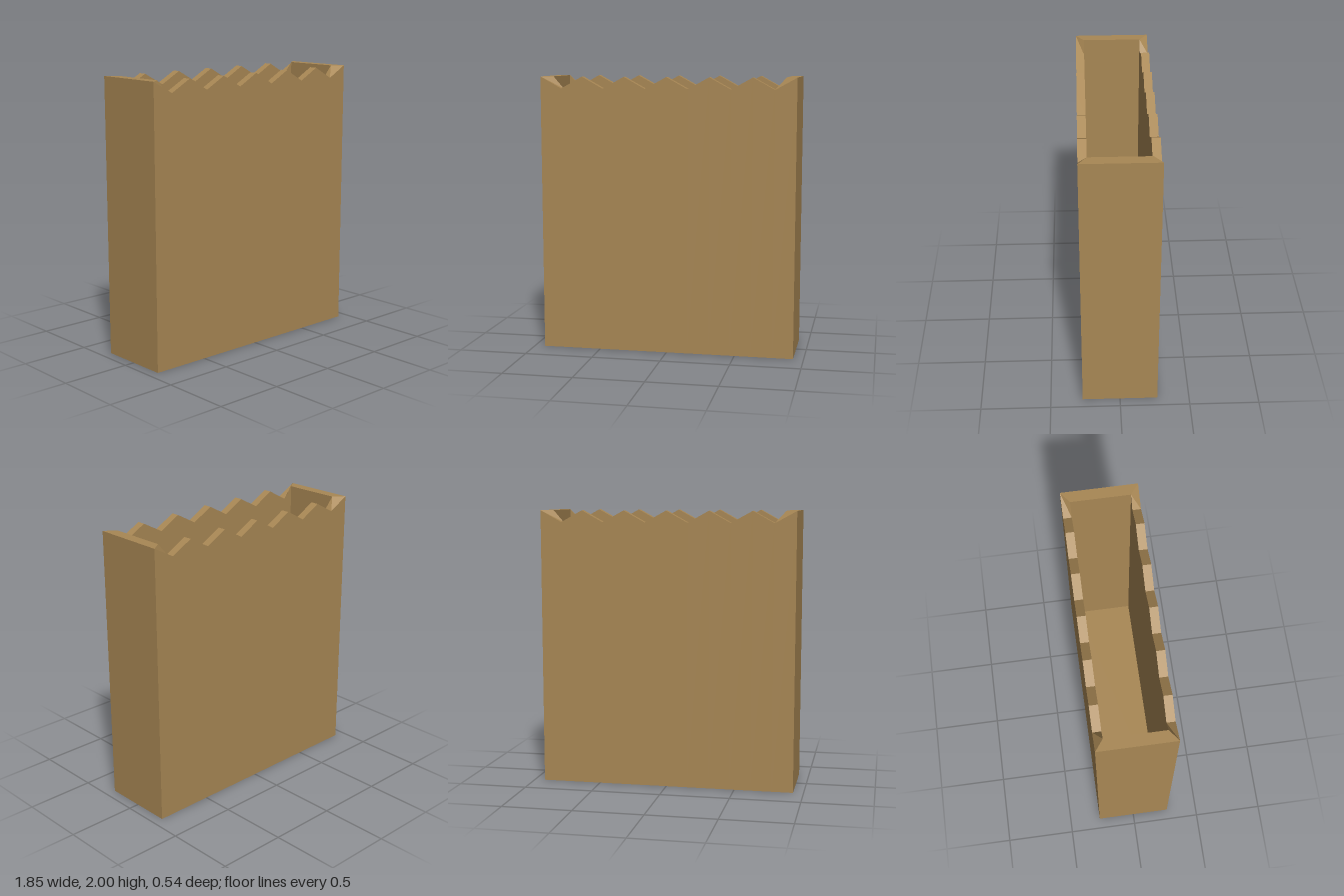
import * as THREE from 'three';

const HALF_W = 0.925, HALF_D = 0.27;      // outer half sizes
const IN_W = 0.845, IN_D = 0.21;          // inner half sizes
const TOP = 2, NOTCH = 1.915, FLOOR = 0.06;
const STEPS = 12;                         // zigzag edges on each long wall

// One loop around the bag: along the front, then back along the rear.
// height(i) gives y; even points are peaks and odd points are notches.
function loop(halfW, halfD, height) {
  const points = [];
  for (const side of [1, -1]) {
    for (let k = 0; k <= STEPS; k++) {
      const pitch = HALF_W * (2 * k / STEPS - 1);
      const x = side * THREE.MathUtils.clamp(pitch, -halfW, halfW);
      points.push(new THREE.Vector3(x, height(k), side * halfD));
    }
  }
  return points;
}

function quadsGeometry(quads) {
  const points = quads.flatMap(([a, b, c, d]) => [a, b, c, a, c, d]);
  const geometry = new THREE.BufferGeometry().setFromPoints(points);
  geometry.computeVertexNormals();
  return geometry;
}

// Band of quads joining two loops
function band(a, b) {
  return quadsGeometry(a.map((p, i) => {
    const j = (i + 1) % a.length;
    return [p, a[j], b[j], b[i]];
  }));
}

// Flat rectangle facing up or down
function sheet(halfW, halfD, y, up) {
  const geometry = new THREE.PlaneGeometry(2 * halfW, 2 * halfD);
  geometry.rotateX(up ? -Math.PI / 2 : Math.PI / 2);
  return geometry.translate(0, y, 0);
}

export function createModel() {
  const bag = new THREE.Group();
  bag.name = 'paperBag';
  const paper = new THREE.MeshStandardMaterial({ color: 0xa88754 });
  paper.name = 'brown paper';

  const add = (name, geometry) => {
    const mesh = new THREE.Mesh(geometry, paper);
    mesh.name = name;
    bag.add(mesh);
  };

  const zigzag = (k) => (k % 2 ? NOTCH : TOP);
  const outerBottom = loop(HALF_W, HALF_D, () => 0);
  const outerTop = loop(HALF_W, HALF_D, zigzag);
  const innerTop = loop(IN_W, IN_D, zigzag);
  const innerFloor = loop(IN_W, IN_D, () => FLOOR);

  add('outerWalls', band(outerBottom, outerTop));
  add('zigzagRim', band(outerTop, innerTop));
  add('innerWalls', band(innerTop, innerFloor));
  add('insideFloor', sheet(IN_W, IN_D, FLOOR, true));
  add('base', sheet(HALF_W, HALF_D, 0, false));
  return bag;
}
